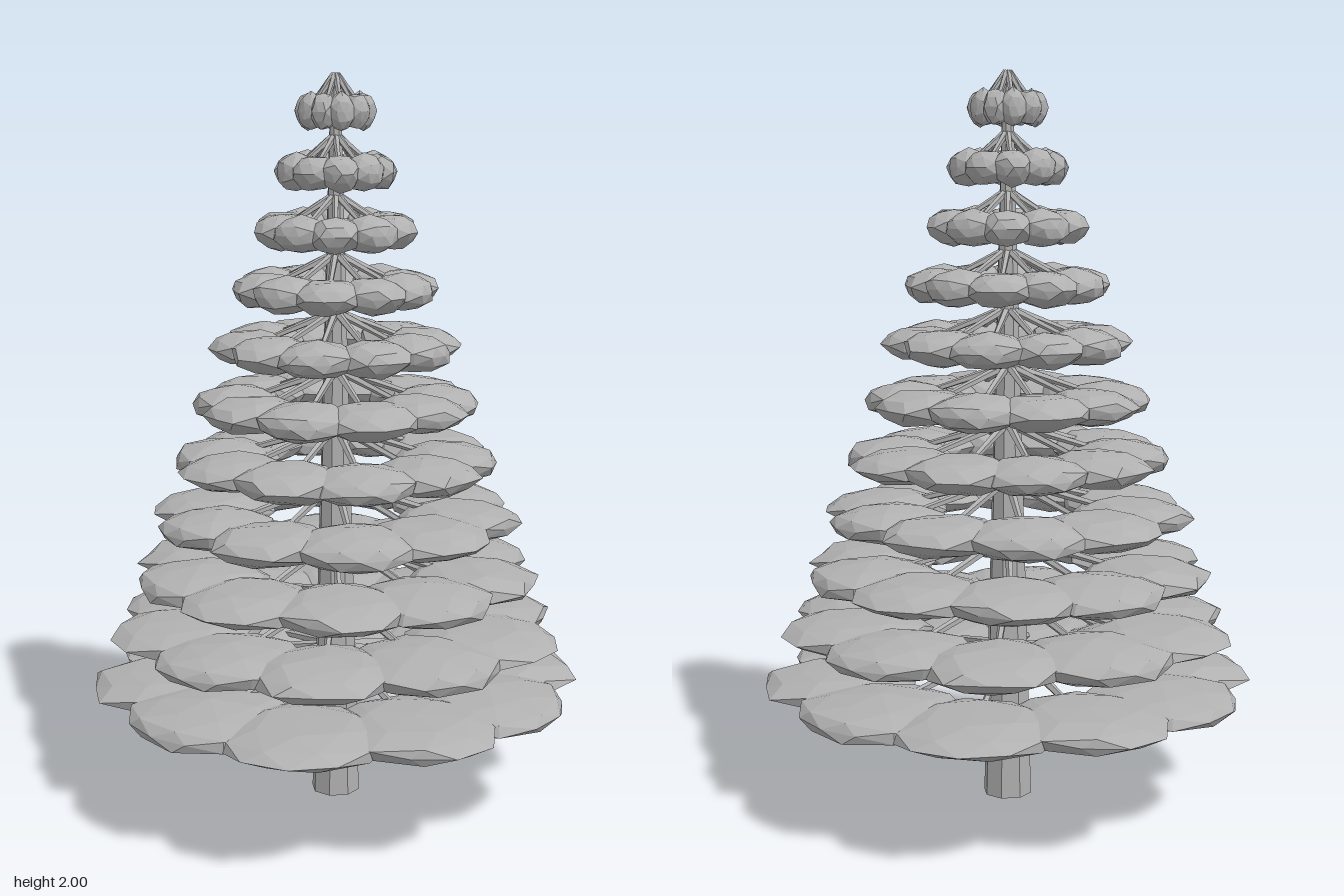
import * as THREE from 'three';
import { mergeVertices } from 'three/addons/utils/BufferGeometryUtils.js';

const TIERS = 11, BRANCHES = 10;

// Small seeded generator for the irregular foliage
let seed = 11;
function rand() {
  seed = (seed * 16807) % 2147483647;
  return seed / 2147483647;
}

// Unit foliage clump: a low-poly ball with uneven vertices
function clumpGeometry() {
  let g = new THREE.IcosahedronGeometry(1, 1);
  g.deleteAttribute('normal');
  g.deleteAttribute('uv');
  g = mergeVertices(g, 1e-3);
  const p = g.attributes.position;
  for (let i = 0; i < p.count; i++) {
    const k = 0.89 + 0.16 * rand();
    p.setXYZ(i, p.getX(i) * k, p.getY(i) * (0.85 + 0.2 * rand()), p.getZ(i) * k);
  }
  g.computeVertexNormals();
  return g;
}

// Thin tapered limb between two points
function limb(a, b, r0, r1, material) {
  const dir = b.clone().sub(a);
  const mesh = new THREE.Mesh(new THREE.CylinderGeometry(r1, r0, dir.length(), 5), material);
  mesh.position.copy(a).add(b).multiplyScalar(0.5);
  mesh.quaternion.setFromUnitVectors(new THREE.Vector3(0, 1, 0), dir.normalize());
  return mesh;
}

export function createModel() {
  const tree = new THREE.Group();
  tree.name = 'firTree';
  const grey = new THREE.MeshStandardMaterial({ color: 0xb0b0b0, flatShading: true });
  grey.name = 'grey';

  // Eight-sided tapering trunk
  const trunk = new THREE.Mesh(new THREE.CylinderGeometry(0.014, 0.068, 1.97, 8), grey);
  trunk.name = 'trunk';
  trunk.position.y = 0.985;
  trunk.rotation.y = Math.PI / 8;
  tree.add(trunk);

  const clumps = Array.from({ length: 5 }, clumpGeometry);

  for (let t = 0; t < TIERS; t++) {
    const f = t / (TIERS - 1);
    const y = 0.332 + 1.57 * f;
    const radius = 0.69 - 0.58 * f;
    const reach = radius * 0.67, spread = radius * 0.33;
    const tier = new THREE.Group();
    tier.name = 'tier' + (t + 1);
    tier.position.y = y;
    tier.rotation.y = t * 0.1;

    for (let i = 0; i < BRANCHES; i++) {
      const spoke = new THREE.Group();
      spoke.name = 'spoke';
      spoke.rotation.y = (i / BRANCHES) * Math.PI * 2;

      // Limb sloping down from the trunk into the foliage
      const branch = limb(new THREE.Vector3(0.005, 0.094, 0), new THREE.Vector3(reach, 0.005, 0),
        0.015 - 0.006 * f, 0.008 - 0.003 * f, grey);
      branch.name = 'branch';

      // Flattened clump at the limb's end
      const clump = new THREE.Mesh(clumps[(i * 2 + t) % clumps.length], grey);
      clump.name = 'foliage';
      clump.position.x = reach;
      clump.scale.set(spread, 0.051, spread);
      spoke.add(branch, clump);
      tier.add(spoke);
    }
    tree.add(tier);
  }
  return tree;
}
